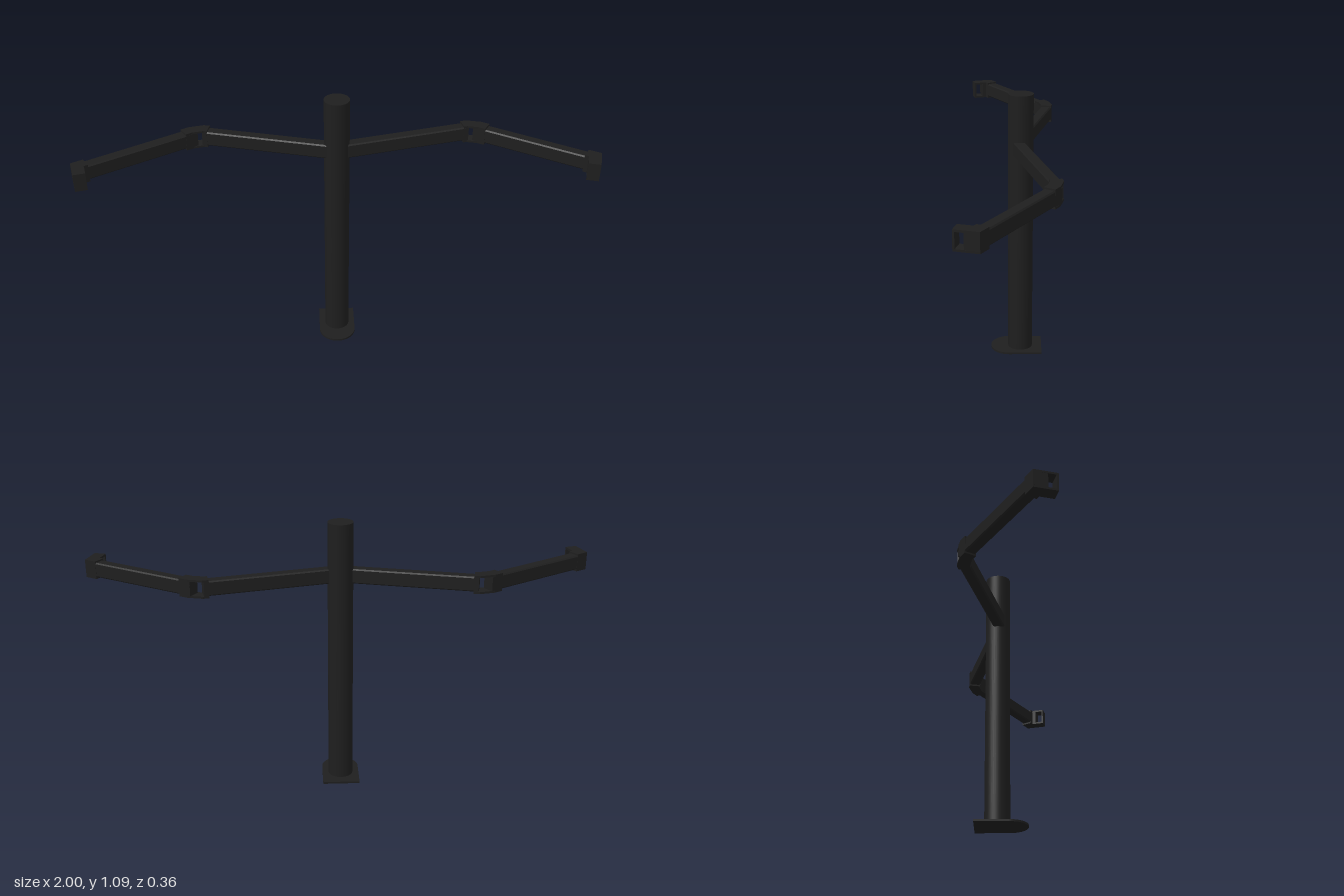
import * as THREE from 'three';

const material = new THREE.MeshStandardMaterial({ color: 0x1e1e1e });

// Horizontal slab: plan shape in (x, z), filling y from bottom to top, optional chamfer
function slab(name, shape, bottom, top, chamfer = 0) {
  const geometry = new THREE.ExtrudeGeometry(shape, {
    depth: top - bottom - 2 * chamfer,
    bevelEnabled: chamfer > 0,
    bevelSize: chamfer,
    bevelOffset: -chamfer,
    bevelThickness: chamfer,
    bevelSegments: 1,
    curveSegments: 24,
  });
  geometry.rotateX(Math.PI / 2);
  geometry.translate(0, top - chamfer, 0);
  const mesh = new THREE.Mesh(geometry, material);
  mesh.name = name;
  return mesh;
}

// Plan outline of a strip of constant width along [x, z] points, mitred at bends
function strip(points, width, side) {
  const p = points.map(([x, z]) => new THREE.Vector2(x * side, z));
  const normal = (a, b) => new THREE.Vector2(a.y - b.y, b.x - a.x).normalize();
  const left = [], right = [];
  p.forEach((c, i) => {
    const before = normal(p[Math.max(i - 1, 0)], p[Math.max(i, 1)]);
    const last = p.length - 1;
    const after = normal(p[Math.min(i, last - 1)], p[Math.min(i + 1, last)]);
    const m = before.clone().add(after).normalize();
    m.multiplyScalar(width / 2 / m.dot(before));
    left.push(c.clone().add(m));
    right.unshift(c.clone().sub(m));
  });
  return new THREE.Shape([...left, ...right]);
}

function makeArm(side) {
  const arm = new THREE.Group();
  arm.name = side > 0 ? 'leftArm' : 'rightArm';
  const low = 0.84, high = 0.912, plate = 0.008;
  const bar = (name, pts) =>
    arm.add(slab(name, strip(pts, 0.045, side), 0.847, 0.906, 0.005));
  const block = (name, pts) =>
    arm.add(slab(name, strip(pts, 0.047, side), low + plate, high - plate));
  const plates = (name, pts) => {
    const shape = strip(pts, 0.047, side);
    arm.add(slab(name + 'BottomPlate', shape, low, low + plate));
    arm.add(slab(name + 'TopPlate', shape, high - plate, high));
  };

  // Two beams
  bar('innerBeam', [[0.02, -0.031], [0.522, -0.16]]);
  bar('outerBeam', [[0.557, -0.157], [0.968, 0.099]]);

  // Elbow: plates bridging an open gap between the beam ends
  plates('elbow', [[0.503, -0.156], [0.522, -0.16], [0.572, -0.148], [0.6, -0.131]]);
  block('elbowInnerBlock', [[0.503, -0.155], [0.522, -0.16]]);
  block('elbowOuterBlock', [[0.557, -0.157], [0.6, -0.13]]);

  // Tip bracket: turned forward, with a gap behind its end panel
  plates('tip', [[0.945, 0.085], [0.974, 0.103], [0.955, 0.172]]);
  block('tipBlock', [[0.945, 0.085], [0.974, 0.103], [0.964, 0.136]]);
  block('tipPanel', [[0.957, 0.165], [0.955, 0.172]]);
  return arm;
}

export function createModel() {
  const model = new THREE.Group();
  model.name = 'armedPost';

  // Base plate: square at the back, half round at the front
  const outline = new THREE.Shape();
  outline.moveTo(-0.075, -0.13);
  outline.lineTo(0.075, -0.13);
  outline.lineTo(0.075, 0.005);
  outline.absarc(0, 0.005, 0.075, 0, Math.PI, false);
  outline.closePath();
  model.add(slab('basePlate', outline, 0, 0.008));

  // Post
  const post = new THREE.Mesh(new THREE.CylinderGeometry(0.05, 0.05, 1.086, 40), material);
  post.position.set(0, 0.547, -0.041);
  post.name = 'post';
  model.add(post);

  // Arms on both sides
  for (const side of [1, -1]) model.add(makeArm(side));
  return model;
}
